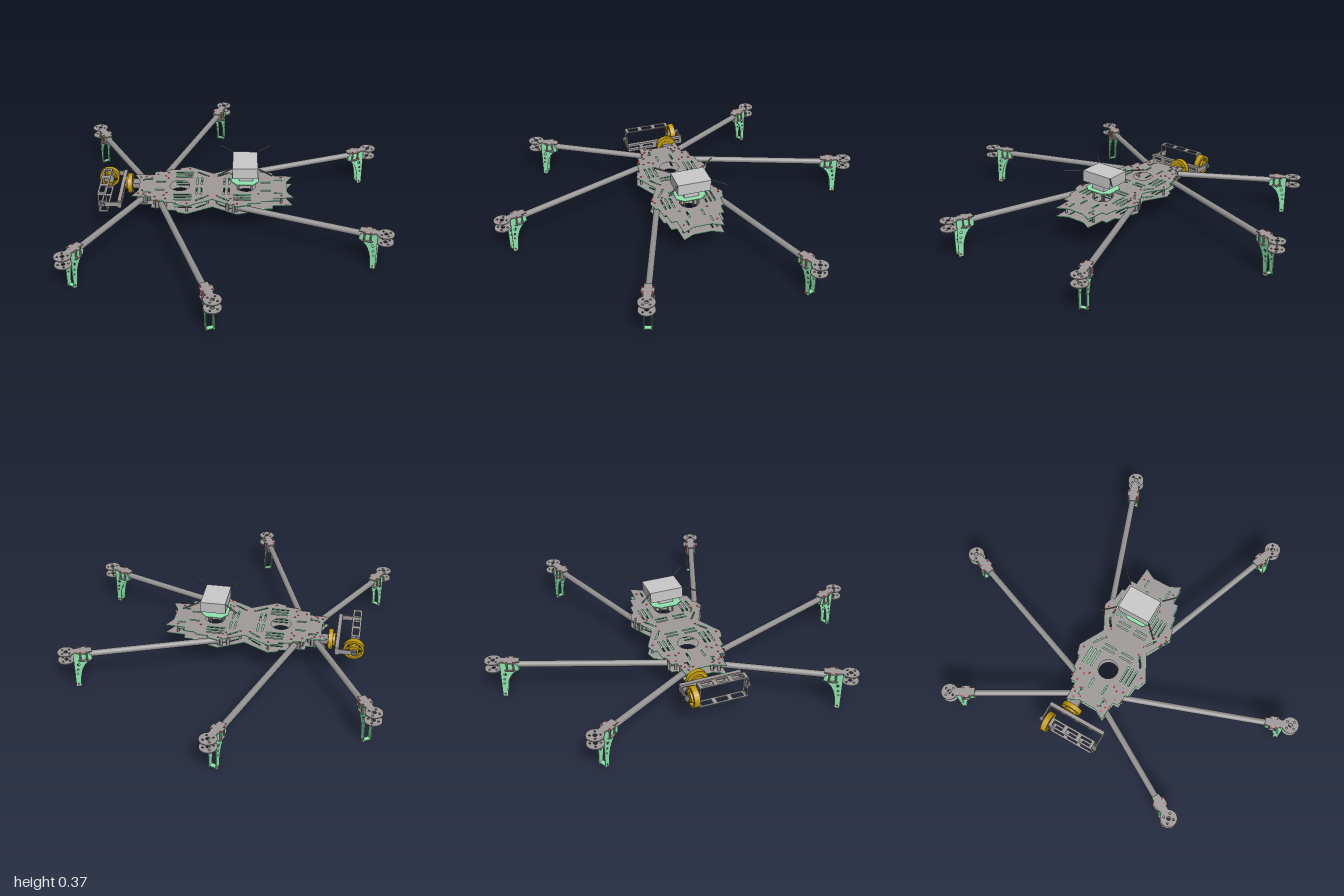
import * as THREE from 'three';

const mat = (name, color) => {
  const m = new THREE.MeshStandardMaterial({ color });
  m.name = name;
  return m;
};

export function createModel() {
  const plateGrey = mat('plateGrey', 0xa09a9a);
  const green = mat('edgeGreen', 0x92e4b0);
  const tubeGrey = mat('tubeGrey', 0x949292);
  const darkGrey = mat('darkGrey', 0x6c6c6e);
  const boxGrey = mat('boxGrey', 0xcacaca);
  const gold = mat('gold', 0xc29c10);
  const red = mat('screwRed', 0xd05050);

  const model = new THREE.Group();
  model.name = 'hexacopterFrame';

  // ---- helpers ----
  const add = (parent, name, geo, material, x = 0, y = 0, z = 0) => {
    const m = new THREE.Mesh(geo, material);
    m.name = name;
    m.position.set(x, y, z);
    parent.add(m);
    return m;
  };
  const box = (p, name, m, w, h, d, x, y, z) => add(p, name, new THREE.BoxGeometry(w, h, d), m, x, y, z);
  const cyl = (p, name, m, r, h, x, y, z, axis = 'y', n = 20) => {
    const g = new THREE.CylinderGeometry(r, r, h, n);
    if (axis === 'x') g.rotateZ(Math.PI / 2);
    if (axis === 'z') g.rotateX(Math.PI / 2);
    return add(p, name, g, m, x, y, z);
  };
  const poly = (pts) => new THREE.Shape(pts.map(([x, y]) => new THREE.Vector2(x, y)));
  const rectHole = (s, x, y, w, h, a = 0) => {
    const c = Math.cos(a), n = Math.sin(a);
    s.holes.push(new THREE.Path([[-1, -1], [1, -1], [1, 1], [-1, 1]].map(([i, j]) =>
      new THREE.Vector2(x + (i * w * c - j * h * n) / 2, y + (i * w * n + j * h * c) / 2))));
  };
  const roundHole = (s, x, y, r) => s.holes.push(new THREE.Path().absarc(x, y, r, 0, Math.PI * 2, true));
  const extrude = (s, t, rim = 0) => new THREE.ExtrudeGeometry(s, {
    depth: t, curveSegments: 14, bevelEnabled: rim > 0, bevelSize: rim, bevelThickness: 0.001, bevelSegments: 1,
  });
  const flat = (p, name, s, y, t, m, rim) => add(p, name, extrude(s, t, rim).rotateX(-Math.PI / 2), m, 0, y, 0);

  // ---- body plates: one half outline mirrored about the waist ----
  const cx = -0.09;
  const half = [[0.13, 0.197], [0.18, 0.182], [0.18, 0.167], [0.25, 0.16], [0.25, 0.145],
    [0.315, 0.14], [0.315, 0.11], [0.418, 0.105], [0.388, 0.05]];
  const back = [...half].reverse();
  const body = poly([
    [cx, 0.128], ...half.map(([d, w]) => [cx + d, w]), ...back.map(([d, w]) => [cx + d, -w]),
    [cx, -0.128], ...half.map(([d, w]) => [cx - d, -w]), ...back.map(([d, w]) => [cx - d, w])]);
  for (const s of [-1, 1]) {
    roundHole(body, cx + s * 0.175, 0, 0.052);
    for (const t of [-1, 1]) {
      for (let i = 0; i < 3; i++) rectHole(body, cx + s * 0.155, t * (0.088 + i * 0.024), 0.1, 0.015);
      for (let i = 0; i < 2; i++) rectHole(body, cx + s * (0.06 + i * 0.025), t * 0.05, 0.014, 0.075);
      rectHole(body, cx + s * 0.06, t * 0.125, 0.07, 0.014, s * t * 0.6);
      rectHole(body, cx + s * 0.28, t * 0.04, 0.06, 0.015);
      rectHole(body, cx + s * 0.345, t * 0.065, 0.05, 0.014);
    }
  }
  // bevelled green rims
  flat(model, 'bottomPlate', body, 0.159, 0.004, [plateGrey, green], 0.003);
  flat(model, 'topPlate', body, 0.205, 0.004, [plateGrey, green], 0.003);

  // spacers between the plates, with screws
  for (const s of [-1, 1]) for (const t of [-1, 1])
    for (const [d, w] of [[0.025, 0.1], [0.13, 0.175], [0.24, 0.075], [0.36, 0.09]]) {
      cyl(model, 'spacer', tubeGrey, 0.006, 0.042, cx + s * d, 0.184, t * w, 'y', 8);
      cyl(model, 'spacerScrew', red, 0.005, 0.058, cx + s * d, 0.184, t * w, 'y', 8);
    }

  // ---- arms: motor mount at the local origin, arm runs along local +x ----
  const mount = new THREE.Shape();
  mount.absarc(0, 0, 0.043, 0.45, Math.PI * 2 - 0.45, false);
  for (const [x, y] of [[0.055, -0.019], [0.066, -0.032], [0.1, -0.032], [0.112, -0.02], [0.13, -0.02],
    [0.13, 0.02], [0.112, 0.02], [0.1, 0.032], [0.066, 0.032], [0.055, 0.019]]) mount.lineTo(x, y);
  roundHole(mount, 0, 0, 0.01);
  for (let i = 0; i < 4; i++) {
    const a = Math.PI / 4 + i * Math.PI / 2;
    roundHole(mount, 0.025 * Math.cos(a), 0.025 * Math.sin(a), 0.005);
  }

  // curved landing leg side plate
  const leg = new THREE.Shape();
  leg.moveTo(0.035, 0);
  leg.lineTo(0.061, 0);
  leg.bezierCurveTo(0.063, 0.09, 0.08, 0.14, 0.128, 0.162);
  leg.lineTo(0.128, 0.18);
  leg.lineTo(0.11, 0.204);
  leg.lineTo(0.035, 0.204);
  leg.closePath();
  for (const [x, y, r] of [[0.049, 0.08, 0.004], [0.052, 0.105, 0.005], [0.057, 0.135, 0.007], [0.085, 0.155, 0.006]])
    roundHole(leg, x, y, r);

  const buildArm = (x, z, dx, dz, length) => {
    const arm = new THREE.Group();
    arm.name = 'arm';
    arm.position.set(x, 0, z);
    arm.rotation.y = Math.atan2(-dz, dx);
    model.add(arm);
    cyl(arm, 'armTube', tubeGrey, 0.0165, length - 0.045, (length + 0.045) / 2, 0.184, 0, 'x', 20);
    for (const y of [0.158, 0.204]) flat(arm, 'motorMount', mount, y, 0.005, plateGrey);
    for (const s of [-1, 1]) {
      add(arm, 'legSide', extrude(leg, 0.004), green, 0, 0, s * 0.0195 - 0.002);
      for (const u of [0.07, 0.102]) {
        cyl(arm, 'mountPost', tubeGrey, 0.004, 0.044, u, 0.184, s * 0.025, 'y', 8);
        cyl(arm, 'mountScrew', red, 0.0045, 0.056, u, 0.184, s * 0.023, 'y', 8);
      }
      // clamps holding the tube between the body plates
      for (const u of [0.015, 0.05]) {
        cyl(arm, 'clampScrew', red, 0.005, 0.058, length - u, 0.184, s * 0.024, 'y', 8);
        box(arm, 'clampLug', tubeGrey, 0.014, 0.04, 0.014, length - u, 0.184, s * 0.023);
      }
    }
    for (const u of [0.015, 0.05]) cyl(arm, 'clampRing', tubeGrey, 0.02, 0.014, length - u, 0.184, 0, 'x');
    box(arm, 'legFoot', green, 0.024, 0.004, 0.036, 0.048, 0.008, 0);
    for (const s of [-1, 1]) cyl(arm, 'footScrew', red, 0.005, 0.005, 0.048, 0.014, s * 0.0215, 'z', 8);
  };
  const rad = Math.PI / 180;
  for (const s of [-1, 1])
    for (const [x, z, deg, length] of [[-0.778, 0.648, 60, 0.69], [-0.058, 0.956, 110, 0.92], [0.773, 0.43, 160, 0.84]])
      buildArm(x, s * z, Math.cos(deg * rad), -s * Math.sin(deg * rad), length);

  // ---- raised receiver with four aerials ----
  const top = new THREE.Group();
  top.name = 'receiver';
  top.position.x = 0.08;
  model.add(top);
  const stand = poly([[-0.07, -0.045], [-0.04, -0.08], [0.04, -0.08], [0.07, -0.045],
    [0.07, 0.045], [0.04, 0.08], [-0.04, 0.08], [-0.07, 0.045]]);
  roundHole(stand, 0, 0, 0.03);
  flat(top, 'standPlate', stand, 0.26, 0.005, green);
  for (const s of [-1, 1]) for (const t of [-1, 1])
    cyl(top, 'standPost', tubeGrey, 0.005, 0.11, s * 0.035, 0.207, t * 0.035, 'y', 8);
  cyl(top, 'standHub', gold, 0.022, 0.006, 0.005, 0.261, 0);
  box(top, 'receiverPost', boxGrey, 0.075, 0.036, 0.08, 0.005, 0.284, 0);
  const caseSide = poly([[-0.08, 0.302], [0.095, 0.302], [0.1, 0.363], [-0.08, 0.363]]);
  add(top, 'receiverBox', extrude(caseSide, 0.13).rotateY(Math.PI / 2), boxGrey, -0.065, 0, 0);
  for (const s of [-1, 1]) for (const z of [-0.1, 0.08]) {
    const t = Math.sign(z);
    const aerial = cyl(top, 'aerial', darkGrey, 0.004, 0.09, s * 0.103, 0.364, z + t * 0.036, 'x', 8);
    aerial.rotation.y = -s * t * Math.PI / 4;
  }

  // ---- camera gimbal ----
  const gimbal = new THREE.Group();
  gimbal.name = 'cameraGimbal';
  model.add(gimbal);
  cyl(gimbal, 'rollMotor', gold, 0.054, 0.024, -0.533, 0.186, -0.06, 'x', 28);
  cyl(gimbal, 'rollMotorHub', gold, 0.034, 0.038, -0.538, 0.186, -0.06, 'x', 24);
  box(gimbal, 'gimbalBracket', tubeGrey, 0.05, 0.03, 0.05, -0.497, 0.184, -0.06);
  // pitch motor: an open ring around a hub, joined by spokes
  const ring = new THREE.Shape().absarc(0, 0, 0.054, 0, Math.PI * 2, false);
  roundHole(ring, 0, 0, 0.042);
  add(gimbal, 'pitchMotorRing', extrude(ring, 0.03), gold, -0.655, 0.186, -0.142);
  cyl(gimbal, 'pitchMotorHub', gold, 0.026, 0.045, -0.655, 0.186, -0.125, 'z', 20);
  for (let i = 0; i < 3; i++)
    box(gimbal, 'pitchMotorSpoke', gold, 0.09, 0.01, 0.012, -0.655, 0.186, -0.125).rotation.z = i * Math.PI / 3;
  // yoke with slotted rear rail
  const rail = poly([[-0.165, 0.165], [0.155, 0.165], [0.155, 0.207], [-0.165, 0.207]]);
  for (let i = 0; i < 4; i++) rectHole(rail, -0.122 + i * 0.08, 0.186, 0.055, 0.018);
  add(gimbal, 'yokeRail', extrude(rail, 0.02).rotateY(-Math.PI / 2), plateGrey, -0.56, 0, 0);
  for (const z of [-0.163, 0.153]) {
    box(gimbal, 'yokeArm', plateGrey, 0.1, 0.026, 0.006, -0.62, 0.186, z);
    cyl(gimbal, 'yokePivot', darkGrey, 0.014, 0.02, -0.658, 0.186, z, 'z', 14);
  }
  // open camera cage
  const cagePlate = poly([[-0.682, -0.145], [-0.634, -0.145], [-0.634, 0.105], [-0.682, 0.105]]);
  for (let i = 0; i < 3; i++) rectHole(cagePlate, -0.658, -0.1 + i * 0.08, 0.028, 0.058);
  for (const y of [0.131, 0.242]) flat(gimbal, 'cagePlate', cagePlate, y, 0.005, plateGrey);
  const cageEnd = poly([[-0.682, 0.133], [-0.634, 0.133], [-0.634, 0.244], [-0.682, 0.244]]);
  for (const y of [0.155, 0.217]) rectHole(cageEnd, -0.658, y, 0.034, 0.034);
  for (const z of [-0.107, 0.139]) add(gimbal, 'cageEnd', extrude(cageEnd, 0.006), plateGrey, 0, 0, z);
  return model;
}
